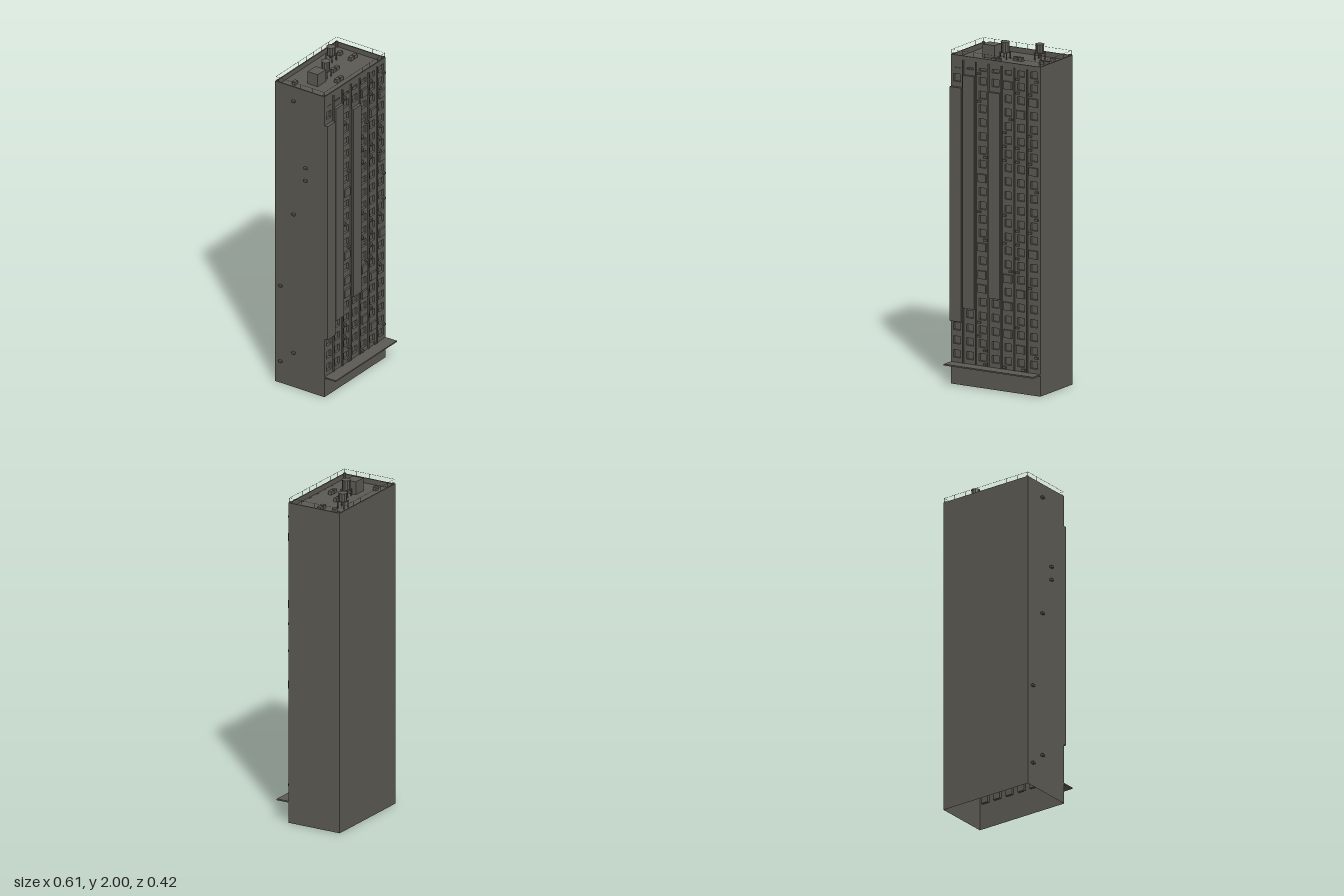
import * as THREE from 'three';
import { mergeGeometries } from 'three/addons/utils/BufferGeometryUtils.js';

const X0 = -0.292, X1 = 0.305, Z0 = -0.21, Z1 = 0.132; // body footprint
const ROOF = 1.89, TOP = 1.92, ROWS = 22, PITCH = 0.0805;
const W = X1 - X0, D = Z1 - Z0, CX = (X0 + X1) / 2, CZ = (Z0 + Z1) / 2;
const colX = c => -0.2515 + 0.0855 * c;
const rowY = r => 0.178 + PITCH * r;

const material = new THREE.MeshStandardMaterial({ color: 0x5c5a53, flatShading: true, side: THREE.DoubleSide });

// box from its centre and size
function box(x, y, z, w, h, d) {
  return new THREE.BoxGeometry(w, h, d).translate(x, y, z);
}

// box from its base centre and size
const standing = (x, y, z, w, h, d) => box(x, y + h / 2, z, w, h, d);

function rectPath(path, x0, y0, x1, y1) {
  path.moveTo(x0, y0);
  path.lineTo(x1, y0);
  path.lineTo(x1, y1);
  path.lineTo(x0, y1);
  path.closePath();
  return path;
}

export function createModel() {
  const model = new THREE.Group();
  model.name = 'apartmentTower';
  const add = (name, geometries) => {
    const list = [].concat(geometries);
    const mesh = new THREE.Mesh(list.length > 1 ? mergeGeometries(list) : list[0], material);
    mesh.name = name;
    model.add(mesh);
  };

  // plain back and side walls, open at the bottom
  const sideWall = x => new THREE.PlaneGeometry(D, ROOF)
    .rotateY(x > 0 ? Math.PI / 2 : -Math.PI / 2).translate(x, ROOF / 2, CZ);
  add('backAndSideWalls', [
    new THREE.PlaneGeometry(W, ROOF).rotateY(Math.PI).translate(CX, ROOF / 2, Z0),
    sideWall(X0), sideWall(X1),
  ]);

  // front wall pierced by a grid of recessed windows
  const ww = 0.046, wh = 0.044, depth = 0.015;
  const front = rectPath(new THREE.Shape(), X0, 0, X1, ROOF);
  const recesses = [];
  for (let c = 0; c < 7; c++) {
    for (let r = 0; r < ROWS; r++) {
      const x = colX(c), y = rowY(r);
      front.holes.push(rectPath(new THREE.Path(), x - ww / 2, y - wh / 2, x + ww / 2, y + wh / 2));
      const z = Z1 - depth / 2;
      recesses.push(
        new THREE.PlaneGeometry(ww, wh).translate(x, y, Z1 - depth),
        new THREE.PlaneGeometry(ww, depth).rotateX(-Math.PI / 2).translate(x, y - wh / 2, z),
        new THREE.PlaneGeometry(ww, depth).rotateX(Math.PI / 2).translate(x, y + wh / 2, z),
        new THREE.PlaneGeometry(depth, wh).rotateY(Math.PI / 2).translate(x - ww / 2, y, z),
        new THREE.PlaneGeometry(depth, wh).rotateY(-Math.PI / 2).translate(x + ww / 2, y, z),
      );
    }
  }
  add('frontWall', new THREE.ShapeGeometry(front).translate(0, 0, Z1));
  add('windowRecesses', recesses);

  // slim ribs between the window columns
  const ribs = [];
  for (let c = 0; c < 6; c++) ribs.push(standing(colX(c) + 0.0428, 0.13, Z1 + 0.004, 0.007, 1.765, 0.008));
  add('facadeRibs', ribs);

  // tall enclosed bays: column, bottom, top
  add('enclosedBays', [[0, 0.37, 1.735], [1, 0.455, 1.812], [3, 0.535, 1.735]].map(
    ([c, y0, y1]) => standing(colX(c), y0, Z1 + 0.0095, 0.077, y1 - y0, 0.019)));

  // single window boxes, listed by column then row
  const cages = { 2: [5, 6, 8, 13], 4: [2, 4, 6, 20], 5: [1, 5, 18], 6: [8, 14, 19] };
  add('windowBoxes', Object.entries(cages).flatMap(([c, rows]) =>
    rows.map(r => box(colX(+c), rowY(r), Z1 + 0.006, 0.055, 0.047, 0.012))));

  // air conditioners under the windows: rows on the near and far side of each column
  const units = {
    2: [[2, 3, 11, 19, 21], [0, 1, 9, 15]],
    4: [[0, 9, 11, 15, 16, 17], [7, 18]],
    5: [[3, 7, 8, 9, 10, 15, 16, 20, 21], [0]],
    6: [[6, 10, 15, 16, 17, 20], [1, 11, 13, 21]],
  };
  const conditioners = [];
  for (const [c, sides] of Object.entries(units)) {
    sides.forEach((rows, s) => rows.forEach(r => conditioners.push(
      box(colX(+c) + (s ? 0.021 : -0.021), 0.141 + PITCH * r, Z1 + 0.006, 0.02, 0.012, 0.012))));
  }
  // a few more on the right side wall: row, z
  for (const [r, z] of [[0, -0.17], [1, -0.08], [6, -0.17], [12, -0.08], [15, 0.005], [16, 0.005], [21, -0.08]]) {
    conditioners.push(box(X0 - 0.008, 0.141 + PITCH * r, z, 0.016, 0.012, 0.02));
  }
  add('airConditioners', conditioners);

  // entrance canopy
  add('canopy', box(CX, 0.125, Z1 + 0.039, W, 0.008, 0.078));

  // roof deck and parapet
  add('roofDeck', new THREE.PlaneGeometry(W, D).rotateX(-Math.PI / 2).translate(CX, ROOF, CZ));
  const t = 0.007;
  const rim = rectPath(new THREE.Shape(), X0, -Z1, X1, -Z0);
  rim.holes.push(rectPath(new THREE.Path(), X0 + t, -Z1 + t, X1 - t, -Z0 - t));
  add('parapet', new THREE.ExtrudeGeometry(rim, { depth: TOP - ROOF, bevelEnabled: false })
    .rotateX(-Math.PI / 2).translate(0, ROOF, 0));

  // corner blocks and thin guard rail
  const corners = [], rail = [], m = 0.003, railY = 1.947, thin = 0.0012;
  for (const x of [X0 + 0.01, X1 - 0.01]) {
    for (const z of [Z0 + 0.01, Z1 - 0.01]) corners.push(standing(x, ROOF, z, 0.012, 0.036, 0.012));
  }
  for (const z of [Z0 + m, Z1 - m]) {
    rail.push(box(CX, railY, z, W - 2 * m, thin, thin));
    for (let i = 0; i <= 8; i++) {
      rail.push(standing(X0 + m + (W - 2 * m) * i / 8, TOP, z, thin, railY - TOP, thin));
    }
  }
  for (const x of [X0 + m, X1 - m]) {
    rail.push(box(x, railY, CZ, thin, thin, D - 2 * m));
    for (let i = 1; i < 4; i++) {
      rail.push(standing(x, TOP, Z0 + m + (D - 2 * m) * i / 4, thin, railY - TOP, thin));
    }
  }
  add('cornerBlocks', corners);
  add('guardRail', rail);

  // stair house and small roof units
  add('stairHouse', standing(-0.126, ROOF, -0.04, 0.08, 0.077, 0.07));
  add('roofUnits', [[-0.215, -0.128], [0.227, -0.128], [0.035, -0.04], [0.067, -0.04], [0.21, -0.04],
    [0.243, -0.04], [-0.053, 0.05], [-0.021, 0.05]].map(([x, z]) => standing(x, ROOF, z, 0.027, 0.022, 0.021)));

  // water tanks on four-legged stands: x, z, top
  for (const [x, z, top] of [[-0.037, -0.04, 2], [0.139, -0.128, 1.99]]) {
    const y = 1.932, eaves = top - 0.009;
    const stand = [standing(x, y - 0.004, z, 0.05, 0.004, 0.05)];
    for (const sx of [-1, 1]) {
      for (const sz of [-1, 1]) stand.push(standing(x + sx * 0.021, ROOF, z + sz * 0.021, 0.005, y - ROOF, 0.005));
    }
    add('tankStand', stand);
    add('waterTank', [
      new THREE.CylinderGeometry(0.024, 0.024, eaves - y, 10).translate(x, (eaves + y) / 2, z),
      new THREE.ConeGeometry(0.027, top - eaves, 10).translate(x, (top + eaves) / 2, z),
    ]);
  }
  return model;
}
